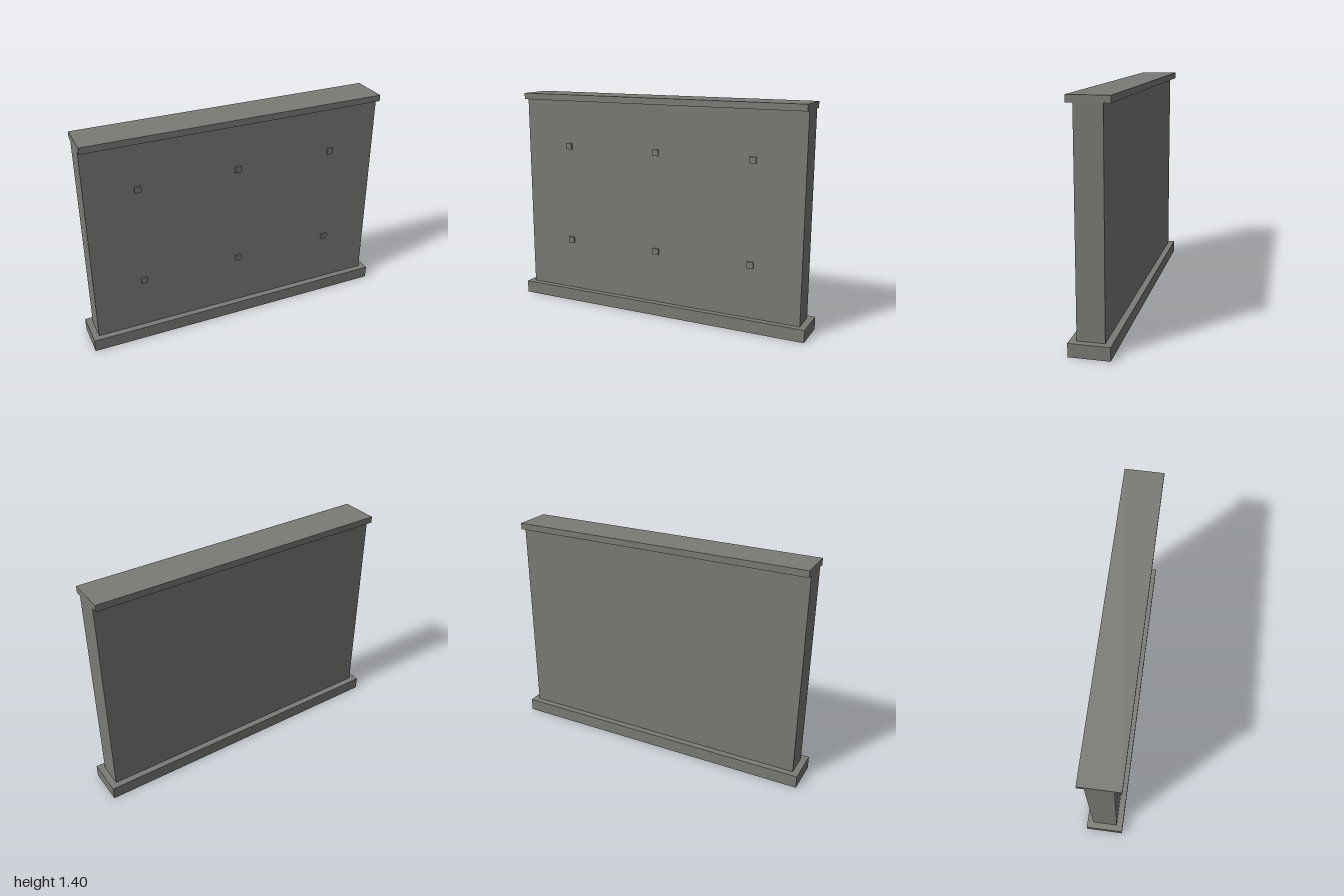
import * as THREE from 'three';

export function createModel() {
  const group = new THREE.Group();
  const concrete = new THREE.MeshStandardMaterial({ color: 0x7a7a76 });
  concrete.name = 'concrete grey';

  // Box placed by its centre in x and z, and by its bottom in y
  const addBox = (name, w, h, d, x, bottom, z) => {
    const mesh = new THREE.Mesh(new THREE.BoxGeometry(w, h, d), concrete);
    mesh.name = name;
    mesh.position.set(x, bottom + h / 2, z);
    group.add(mesh);
  };

  // Footing, wall panel and coping
  addBox('base', 2, 0.08, 0.24, 0, 0, 0);
  addBox('wallPanel', 1.92, 1.28, 0.16, 0, 0.08, 0);
  addBox('topCap', 1.92, 0.04, 0.24, 0, 1.36, 0);

  // Two rows of three small studs on the front face
  for (const bottom of [0.4, 1.04]) {
    for (const x of [-0.64, 0, 0.64]) {
      addBox('stud', 0.04, 0.04, 0.012, x, bottom, 0.086);
    }
  }

  return group;
}
